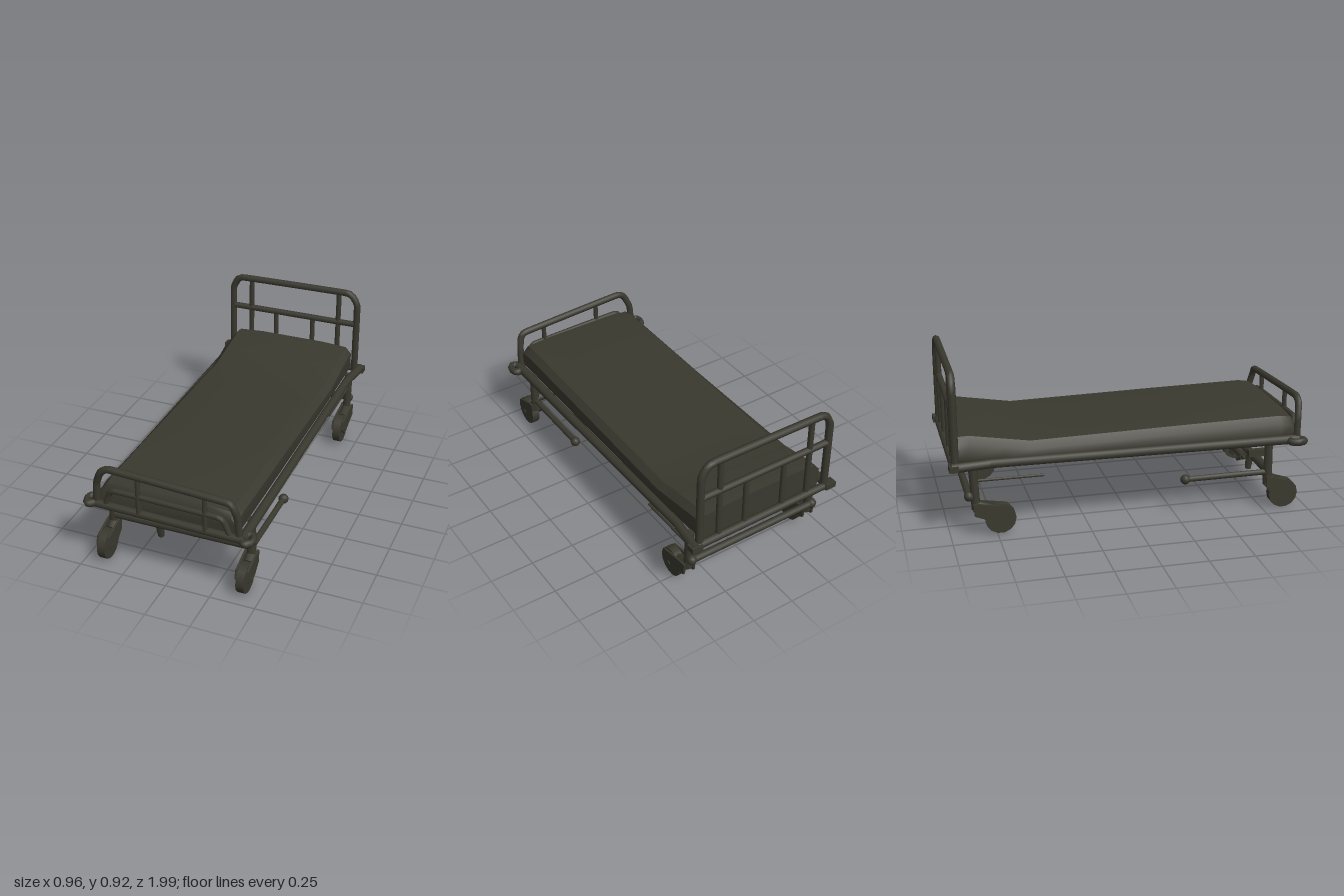
import * as THREE from 'three';
import { toCreasedNormals } from 'three/addons/utils/BufferGeometryUtils.js';

export function createModel() {
  const model = new THREE.Group();
  model.name = 'hospitalBed';
  const dark = new THREE.MeshStandardMaterial({ color: 0x3a392f });
  dark.name = 'dark olive metal';
  const V = (p) => new THREE.Vector3(...p);

  function add(name, geometry, parent = model) {
    const mesh = new THREE.Mesh(geometry, dark);
    mesh.name = name;
    parent.add(mesh);
    return mesh;
  }
  // Straight tube between two points, optionally tapered
  function rod(name, a, b, r0, r1 = r0, parent = model) {
    const A = V(a), B = V(b), d = B.clone().sub(A);
    const m = add(name, new THREE.CylinderGeometry(r1, r0, d.length(), 8), parent);
    m.position.copy(A).add(B).multiplyScalar(0.5);
    m.quaternion.setFromUnitVectors(new THREE.Vector3(0, 1, 0), d.normalize());
    return m;
  }
  // Bent tube through a few points
  function bent(name, pts, r, parent = model) {
    const curve = new THREE.CatmullRomCurve3(pts.map(V), false, 'catmullrom', 0.15);
    return add(name, new THREE.TubeGeometry(curve, 60, r, 8), parent);
  }
  function box(name, size, pos, parent = model) {
    const m = add(name, new THREE.BoxGeometry(...size), parent);
    m.position.set(...pos);
    return m;
  }

  // Mattress: cross-sections along the length, [z, top, bottom]
  const sections = [
    [0.945, 0.5, 0.4], [0.925, 0.53, 0.385], [0.86, 0.54, 0.385], [0.3, 0.532, 0.385],
    [-0.3, 0.52, 0.39], [-0.55, 0.515, 0.39], [-0.7, 0.54, 0.395], [-0.88, 0.57, 0.4],
    [-0.94, 0.568, 0.405],
  ];
  const rings = sections.map(([z, t, b]) => [
    [-0.375, b], [-0.39, b + 0.03], [-0.385, t - 0.05], [-0.35, t - 0.012], [-0.2, t - 0.002],
    [0.2, t - 0.002], [0.35, t - 0.012], [0.385, t - 0.05], [0.385, b + 0.03], [0.375, b],
  ].map(([x, y]) => [x, y, z]));
  const n = rings[0].length, index = [];
  for (let s = 0; s < rings.length - 1; s++) {
    for (let i = 0; i < n; i++) {
      const a = s * n + i, b = s * n + (i + 1) % n;
      index.push(a, b, a + n, b, b + n, a + n);
    }
  }
  const last = (rings.length - 1) * n;
  for (let i = 1; i < n - 1; i++) {
    index.push(0, i + 1, i, last, last + i, last + i + 1);
  }
  const pad = new THREE.BufferGeometry();
  pad.setAttribute('position', new THREE.Float32BufferAttribute(rings.flat(2), 3));
  pad.setIndex(index);
  add('mattress', toCreasedNormals(pad, 0.7));

  // Bed frame, slightly lower at the foot and on the left
  const frame = new THREE.Group();
  frame.name = 'bedFrame';
  model.add(frame);
  for (const s of [-1, 1]) {
    const yf = 0.392 - s * 0.012, yb = 0.41 - s * 0.004;
    rod('sideRail', [s * 0.41, yf, 0.95], [s * 0.41, yb, -0.8], 0.027, 0.025, frame);
    rod('railEnd', [s * 0.41, yb, -0.78], [s * 0.437, yb, -0.985], 0.025, 0.027, frame);
    // Corner bumpers
    const ring = add('footBumper', new THREE.TorusGeometry(0.036, 0.022, 8, 10), frame);
    ring.rotation.x = Math.PI / 2;
    ring.scale.set(0.8, 1.08, 1);
    ring.position.set(s * 0.436, yf, 0.935);
    box('headBumper', [0.065, 0.034, 0.05], [s * 0.433, yb, -0.973], frame);
  }
  rod('footBar', [-0.42, 0.403, 0.955], [0.42, 0.385, 0.955], 0.022, 0.022, frame);
  rod('headBar', [-0.43, 0.412, -0.97], [0.43, 0.408, -0.97], 0.022, 0.022, frame);

  // Headboard
  const head = new THREE.Group();
  head.name = 'headboard';
  model.add(head);
  const hz = -0.963;
  bent('headHoop', [
    [-0.408, 0.4, hz], [-0.408, 0.82, hz], [-0.39, 0.868, hz], [-0.345, 0.903, hz],
    [0.33, 0.91, hz], [0.38, 0.88, hz], [0.402, 0.83, hz], [0.404, 0.4, hz],
  ], 0.021, head);
  rod('headCrossbar', [-0.4, 0.708, hz], [0.4, 0.71, hz], 0.019, 0.019, head);
  for (const s of [-1, 1]) {
    rod('outerUpright', [s * 0.285, 0.41, hz], [s * 0.285, 0.9, hz], 0.016, 0.016, head);
    rod('innerUpright', [s * 0.12, 0.41, hz], [s * 0.12, 0.71, hz], 0.015, 0.015, head);
  }

  // Footboard
  const foot = new THREE.Group();
  foot.name = 'footboard';
  model.add(foot);
  const fz = 0.962;
  bent('footHoop', [
    [-0.405, 0.4, 0.945], [-0.395, 0.53, 0.95], [-0.365, 0.6, fz], [-0.31, 0.632, fz],
    [0.335, 0.597, fz], [0.375, 0.56, fz], [0.388, 0.5, 0.95], [0.395, 0.39, 0.945],
  ], 0.02, foot);
  bent('footCrossbar', [
    [-0.35, 0.4, 0.955], [-0.33, 0.46, 0.955], [-0.29, 0.506, 0.96],
    [0.28, 0.494, 0.96], [0.32, 0.46, 0.955], [0.345, 0.4, 0.955],
  ], 0.016, foot);
  rod('footUpright', [-0.155, 0.4, fz], [-0.155, 0.62, fz], 0.014, 0.014, foot);
  rod('footUpright', [0.215, 0.39, fz], [0.215, 0.6, fz], 0.014, 0.014, foot);

  // Castor: wheel with a fork trailing from the post
  function castor(x, postZ, wheelZ, wheelY) {
    const g = new THREE.Group();
    g.name = 'castor';
    model.add(g);
    const wheel = add('wheel', new THREE.CylinderGeometry(0.084, 0.084, 0.045, 14), g);
    wheel.rotation.z = Math.PI / 2;
    wheel.position.set(x, wheelY, wheelZ);
    const shape = new THREE.Shape([
      [postZ - 0.018, 0.2], [postZ - 0.012, 0.13], [wheelZ - 0.05, wheelY - 0.005],
      [wheelZ + 0.005, wheelY - 0.03], [wheelZ + 0.06, wheelY + 0.02],
      [wheelZ + 0.045, wheelY + 0.07], [postZ + 0.025, 0.195],
    ].map(([z, y]) => new THREE.Vector2(-z, y)));
    for (const s of [-1, 1]) {
      const fork = add('forkPlate', new THREE.ExtrudeGeometry(shape, { depth: 0.012, bevelEnabled: false }), g);
      fork.rotation.y = Math.PI / 2;
      fork.position.x = x + s * 0.031 - 0.006;
    }
    rod('forkCrown', [x, 0.18, postZ], [x, 0.15, wheelZ - 0.05], 0.028, 0.03, g);
    rod('axle', [x - 0.04, wheelY, wheelZ], [x + 0.04, wheelY, wheelZ], 0.015, 0.015, g);
  }

  // Legs, castors, lower arms and rods on both sides
  for (const s of [-1, 1]) {
    const x = s * 0.398;
    rod('frontLeg', [x, 0.15, 0.783], [x, 0.4, 0.783], 0.027, 0.024);
    rod('rearLeg', [x, 0.16, -0.86], [x, 0.41, -0.872], 0.024);
    castor(x, 0.783, 0.872, 0.09);
    castor(x, -0.86, -0.732, 0.1);
    rod('pushArm', [x, 0.22, 0.79], [x, 0.218, 0.3], 0.017);
    const knob = add('armKnob', new THREE.SphereGeometry(0.028, 10, 8));
    knob.position.set(x, 0.218, 0.3);
    box('legBracket', [0.03, 0.04, 0.11], [s * 0.385, 0.335, 0.722]);
    rod('thinRod', [x, 0.32, -0.87], [x, 0.32, -0.49], 0.008);
    const joint = add('legJoint', new THREE.SphereGeometry(0.028, 10, 8));
    joint.position.set(x, 0.235, -0.895);
  }

  // Cross members and central brake pedals
  rod('frontCrossbar', [-0.395, 0.23, 0.783], [0.395, 0.232, 0.783], 0.026);
  rod('rearCrossbar', [-0.395, 0.235, -0.895], [0.395, 0.235, -0.895], 0.02);
  rod('pedal', [-0.128, 0.22, 0.775], [-0.128, 0.14, 0.765], 0.026, 0.018);
  rod('pedalHinge', [-0.1, 0.205, 0.745], [0.08, 0.215, 0.745], 0.023, 0.026);
  rod('pedalTip', [-0.1, 0.21, 0.75], [-0.062, 0.178, 0.72], 0.018, 0.012);
  rod('pedalTip', [0.055, 0.21, 0.745], [0.056, 0.165, 0.725], 0.026, 0.014);

  return model;
}
